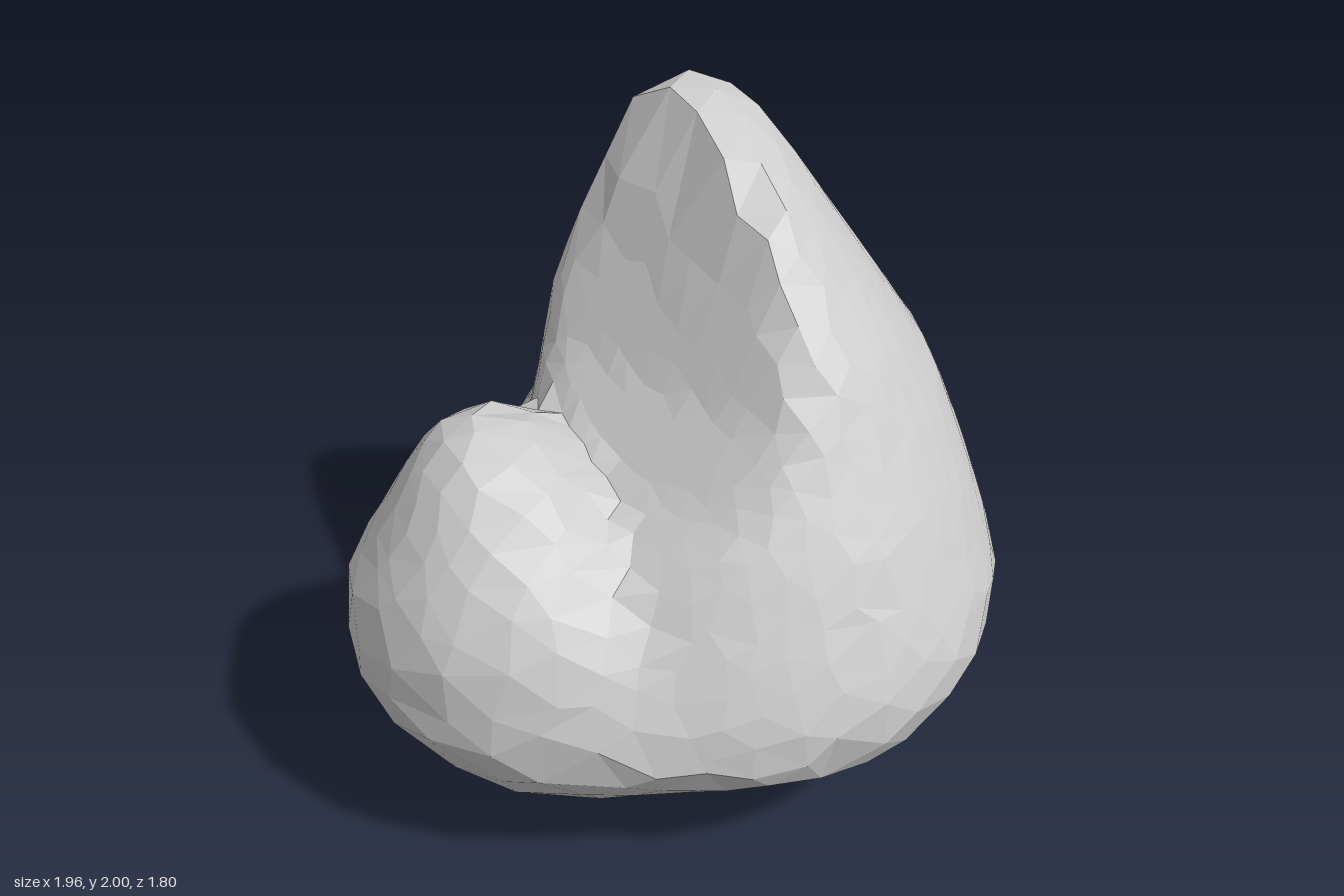
import * as THREE from 'three';
import { mergeVertices } from 'three/addons/utils/BufferGeometryUtils.js';

// Horizontal sections: [y, xMin, xMax, zMin, zMax]
const PEAK = [
  [0, 0.13, 0.27, -0.5, -0.36], [0.08, -0.15, 0.42, -0.64, 0.28],
  [0.17, -0.48, 0.68, -0.82, 0.62], [0.36, -0.63, 0.87, -0.9, 0.82],
  [0.46, -0.66, 0.92, -0.9, 0.9], [0.62, -0.66, 0.98, -0.9, 0.88],
  [0.77, -0.58, 0.94, -0.88, 0.81], [1.0, -0.44, 0.86, -0.83, 0.68],
  [1.2, -0.39, 0.78, -0.81, 0.55], [1.4, -0.36, 0.65, -0.67, 0.45],
  [1.6, -0.29, 0.51, -0.58, 0.29], [1.8, -0.19, 0.37, -0.5, 0.12],
  [1.93, -0.12, 0.26, -0.46, -0.07], [1.98, -0.06, 0.19, -0.43, -0.19],
  [2.005, -0.01, 0.14, -0.4, -0.26],
];
const LOBE = [
  [0.08, -0.4, -0.05, 0.1, 0.42], [0.14, -0.62, 0.2, 0, 0.6],
  [0.27, -0.82, 0.3, -0.18, 0.74], [0.5, -0.985, 0.38, -0.31, 0.88],
  [0.77, -0.985, 0.15, -0.25, 0.81], [0.9, -0.91, -0.02, -0.18, 0.74],
  [1.0, -0.85, -0.13, -0.11, 0.66], [1.15, -0.76, -0.3, 0, 0.52],
  [1.23, -0.69, -0.41, 0.09, 0.42], [1.27, -0.62, -0.48, 0.17, 0.34],
];
// Diagonal flank of the peak facing the lobe: [y, offset]
const FLANK = [[0, 2], [0.7, 1.2], [0.9, 0.64], [1.1, 0.35], [1.3, 0.16], [1.55, 0.02], [1.8, -0.08], [2.1, -0.18]];

function sample(table, y) {
  let i = 1;
  while (i < table.length - 1 && table[i][0] < y) i++;
  const a = table[i - 1], b = table[i];
  const t = (y - a[0]) / (b[0] - a[0]);
  return a.map((v, k) => v + (b[k] - v) * t);
}

const smoothMin = (a, b, k) => {
  const h = Math.max(k - Math.abs(a - b), 0) / k;
  return Math.min(a, b) - h * h * k * 0.25;
};

// Stack of rounded sections: negative inside, positive outside
function mound(table, p, power) {
  if (p.y < table[0][0] || p.y > table[table.length - 1][0]) return 1;
  const [, x0, x1, z0, z1] = sample(table, p.y);
  const u = Math.abs((2 * p.x - x0 - x1) / (x1 - x0));
  const v = Math.abs((2 * p.z - z0 - z1) / (z1 - z0));
  return (u ** power + v ** power) ** (1 / power) - 1;
}

function field(p) {
  const flank = ((p.z - p.x) * Math.SQRT1_2 - sample(FLANK, p.y)[1]) * 2;
  const peak = -smoothMin(-mound(PEAK, p, 2.25), -flank, 0.15);
  return smoothMin(peak, mound(LOBE, p, 2), 0.15);
}

function createRockGeometry() {
  let seed = 7;
  const jitter = () => {
    seed = (seed * 16807) % 2147483647;
    return (seed / 2147483647 - 0.5) * 0.06;
  };
  let geo = new THREE.IcosahedronGeometry(1, 8);
  geo.deleteAttribute('normal');
  geo.deleteAttribute('uv');
  geo = mergeVertices(geo, 1e-4);

  // Push each vertex out from the core to the surface, finer toward the top
  const core = new THREE.Vector3(0.05, 0.5, -0.05);
  const pos = geo.attributes.position;
  const dir = new THREE.Vector3(), p = new THREE.Vector3();
  const at = (r) => field(p.copy(core).addScaledVector(dir, r));
  for (let i = 0; i < pos.count; i++) {
    dir.fromBufferAttribute(pos, i);
    dir.set(dir.x + jitter(), dir.y + 0.58 + jitter(), dir.z + jitter()).normalize();
    let far = 0.1;
    while (far < 2 && at(far) < 0) far += 0.02;
    let near = far - 0.02;
    for (let n = 0; n < 16; n++) {
      const mid = (near + far) / 2;
      if (at(mid) < 0) near = mid; else far = mid;
    }
    at(near);
    pos.setXYZ(i, p.x, p.y, p.z);
  }
  geo.computeVertexNormals();
  return geo;
}

export function createModel() {
  const group = new THREE.Group();
  group.name = 'twinPeakRock';
  const rock = new THREE.Mesh(
    createRockGeometry(),
    new THREE.MeshStandardMaterial({ color: 0xcccccc, flatShading: true })
  );
  rock.name = 'rock';
  group.add(rock);
  return group;
}
